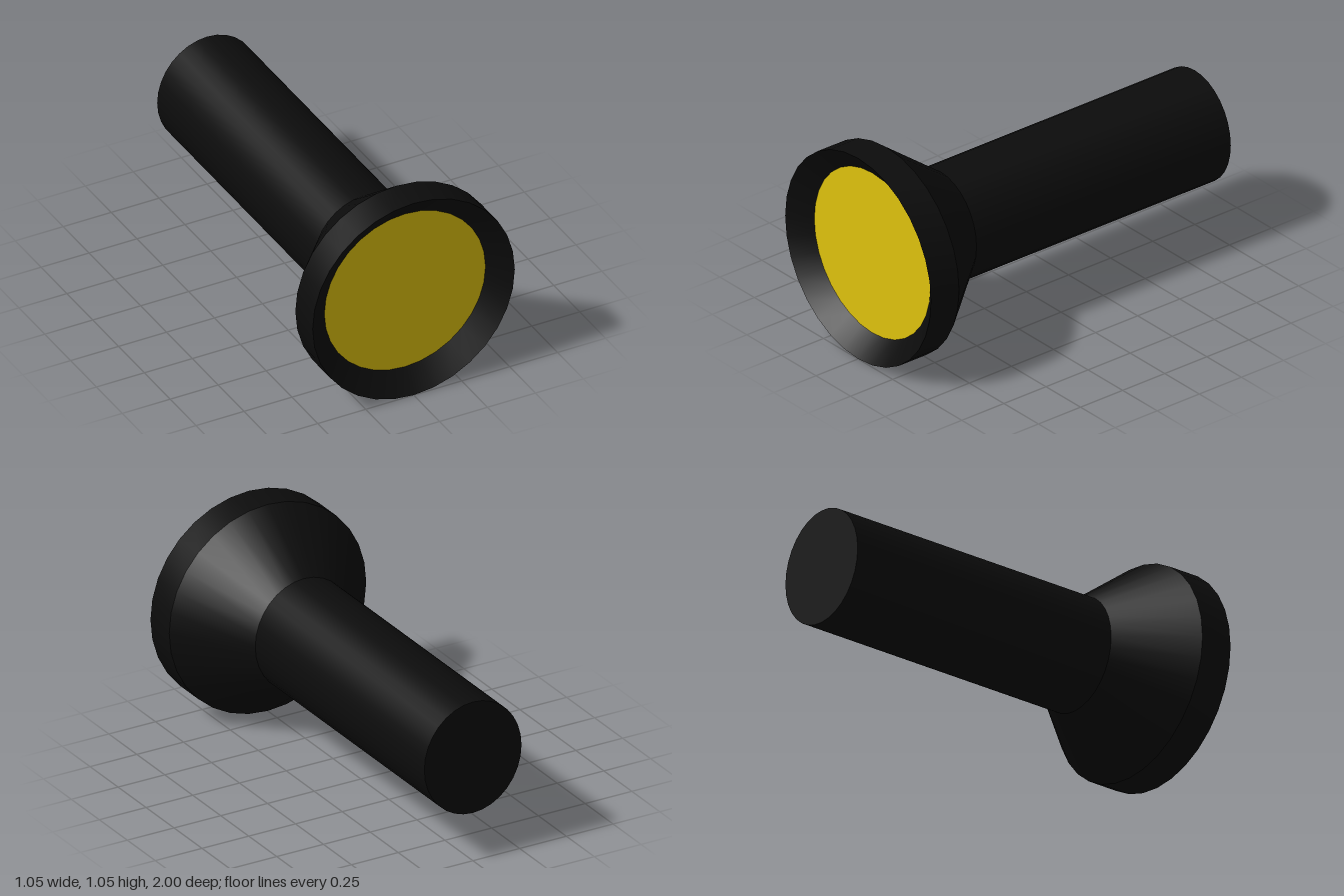
import * as THREE from 'three';
import { mergeVertices } from 'three/addons/utils/BufferGeometryUtils.js';

const SIDES = 32;
const AXIS_Y = 0.527;

// Open tube between two elliptical rings [z, rx, ry]; running from +z to -z turns it inside out.
function band(a, b) {
  let g = new THREE.CylinderGeometry(1, 1, 1, SIDES, 1, true).rotateX(Math.PI / 2);
  g.deleteAttribute('uv');
  g.deleteAttribute('normal');
  const p = g.attributes.position;
  for (let i = 0; i < p.count; i++) {
    const [z, rx, ry] = p.getZ(i) > 0 ? b : a;
    p.setXYZ(i, p.getX(i) * rx, p.getY(i) * ry, z);
  }
  g = mergeVertices(g);
  g.computeVertexNormals();
  return g;
}

// Flat elliptical disc facing +z (dir 1) or -z (dir -1).
function disc([z, rx, ry], dir) {
  const g = new THREE.CircleGeometry(1, SIDES);
  if (dir < 0) g.rotateY(Math.PI);
  return g.scale(rx, ry, 1).translate(0, 0, z);
}

export function createModel() {
  const black = new THREE.MeshStandardMaterial({ color: 0x0c0c0c });
  const yellow = new THREE.MeshStandardMaterial({ color: 0xdfc20d });
  const group = new THREE.Group();
  group.name = 'flashlight';

  const add = (name, geometry, material) => {
    const mesh = new THREE.Mesh(geometry, material);
    mesh.name = name;
    mesh.position.y = AXIS_Y;
    group.add(mesh);
  };

  // Rings along the body, from the tail to the lens
  const tail = [-1, 0.26, 0.283];
  const neck = [0.51, 0.26, 0.283];
  const shoulder = [0.833, 0.527, 0.527];
  const rim = [1, 0.527, 0.527];
  const lens = [0.915, 0.42, 0.42];

  add('tailCap', disc(tail, -1), black);
  add('handle', band(tail, neck), black);
  add('headCone', band(neck, shoulder), black);
  add('headRing', band(shoulder, rim), black);
  add('innerBevel', band(rim, lens), black);
  add('lens', disc(lens, 1), yellow);

  return group;
}
